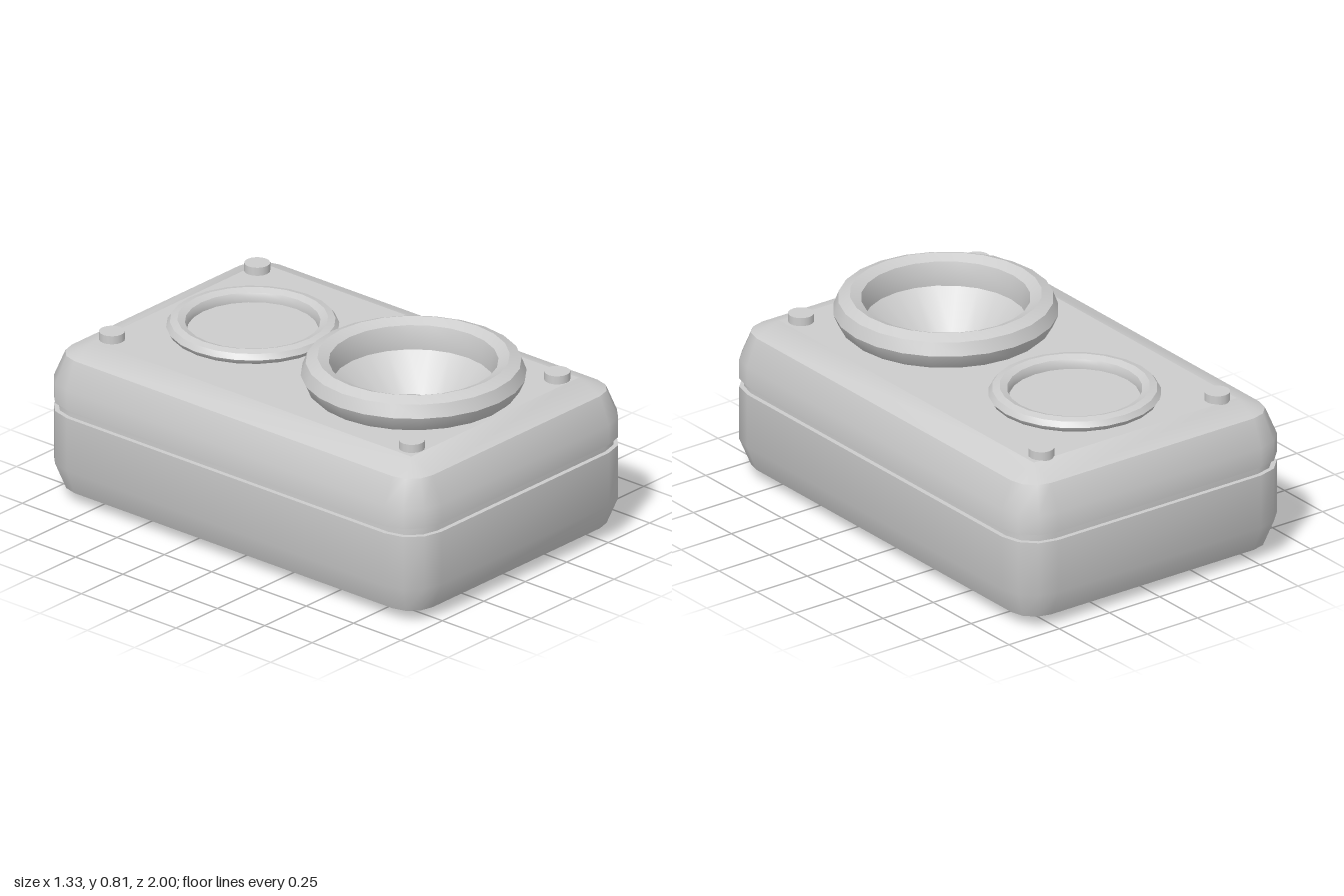
import * as THREE from 'three';
import { toCreasedNormals } from 'three/addons/utils/BufferGeometryUtils.js';

const grey = new THREE.MeshStandardMaterial({ color: 0xcccccc });
grey.name = 'light grey';

const CORE_X = 0.505, CORE_Z = 0.84, TOP = 0.67;

function add(parent, name, geometry, x = 0, y = 0, z = 0) {
  const mesh = new THREE.Mesh(geometry, grey);
  mesh.name = name;
  mesh.position.set(x, y, z);
  parent.add(mesh);
  return mesh;
}

// Lofted cabinet wall: each section is [corner radius around the core rectangle, height]
function cabinetWall(sections) {
  const steps = 3, n = 4 * (steps + 1);
  const positions = [], index = [];
  for (const [r, y] of sections) {
    for (let c = 0; c < 4; c++) {
      const sx = c === 0 || c === 3 ? 1 : -1;
      const sz = c < 2 ? 1 : -1;
      for (let k = 0; k <= steps; k++) {
        const a = (c + k / steps) * Math.PI / 2;
        positions.push(sx * CORE_X + r * Math.cos(a), y, sz * CORE_Z + r * Math.sin(a));
      }
    }
  }
  for (let i = 0; i < sections.length - 1; i++) {
    for (let j = 0; j < n; j++) {
      const a = i * n + j, b = i * n + (j + 1) % n;
      index.push(a, a + n, b, b, a + n, b + n);
    }
  }
  const g = new THREE.BufferGeometry();
  g.setAttribute('position', new THREE.Float32BufferAttribute(positions, 3));
  g.setIndex(index);
  return toCreasedNormals(g, 0.65);
}

function lathe(points, sides = 24) {
  const g = new THREE.LatheGeometry(points.map(([r, y]) => new THREE.Vector2(r, y)), sides);
  return toCreasedNormals(g, 0.55);
}

export function createModel() {
  const model = new THREE.Group();
  model.name = 'loudspeaker';

  // Rounded cabinet with a groove around its middle
  const cabinet = new THREE.Group();
  cabinet.name = 'cabinet';
  model.add(cabinet);
  add(cabinet, 'cabinetWall', cabinetWall([
    [0, 0], [0.113, 0.047], [0.16, 0.16], [0.16, 0.39],
    [0.14, 0.39], [0.14, 0.425], [0.16, 0.425],
    [0.16, 0.51], [0.113, 0.623], [0, TOP],
  ]));

  const base = new THREE.PlaneGeometry(2 * CORE_X, 2 * CORE_Z);
  base.rotateX(Math.PI / 2);
  add(cabinet, 'cabinetBase', base);

  // Top panel with an opening for the large cone
  const panel = new THREE.Shape([
    new THREE.Vector2(-CORE_X, -CORE_Z), new THREE.Vector2(CORE_X, -CORE_Z),
    new THREE.Vector2(CORE_X, CORE_Z), new THREE.Vector2(-CORE_X, CORE_Z),
  ]);
  const opening = new THREE.Path();
  opening.absarc(0, -0.41, 0.36, 0, Math.PI * 2, true);
  panel.holes.push(opening);
  const panelGeometry = new THREE.ShapeGeometry(panel, 12);
  panelGeometry.rotateX(-Math.PI / 2);
  add(cabinet, 'topPanel', panelGeometry, 0, TOP, 0);

  // Large driver: raised ring, sunken cone and domed cap
  const woofer = new THREE.Group();
  woofer.name = 'largeDriver';
  woofer.position.set(0, 0, 0.41);
  model.add(woofer);
  add(woofer, 'largeRing', lathe([
    [0.4, 0.66], [0.428, 0.687], [0.45, 0.737], [0.43, 0.79],
    [0.383, 0.81], [0.338, 0.79], [0.325, 0.74], [0.325, 0.69],
  ]));
  add(woofer, 'cone', lathe([[0.325, 0.69], [0.17, 0.54]]));
  add(woofer, 'coneCap', lathe([
    [0.19, 0.545], [0.14, 0.575], [0.075, 0.593], [0, 0.6],
  ], 14), 0, 0, -0.015);

  // Small driver: low ring around a flat disc
  const tweeter = new THREE.Group();
  tweeter.name = 'smallDriver';
  tweeter.position.set(0, 0, -0.44);
  model.add(tweeter);
  add(tweeter, 'smallRing', lathe([
    [0.32, 0.66], [0.335, 0.672], [0.345, 0.69], [0.33, 0.712],
    [0.3, 0.72], [0.27, 0.708], [0.262, 0.69], [0.262, 0.67],
  ]));

  // Corner screws
  const screw = new THREE.CylinderGeometry(0.052, 0.052, 0.045, 16);
  for (const x of [-0.438, 0.438]) {
    for (const z of [-0.8, 0.785]) add(model, 'screw', screw, x, 0.6825, z);
  }
  return model;
}
